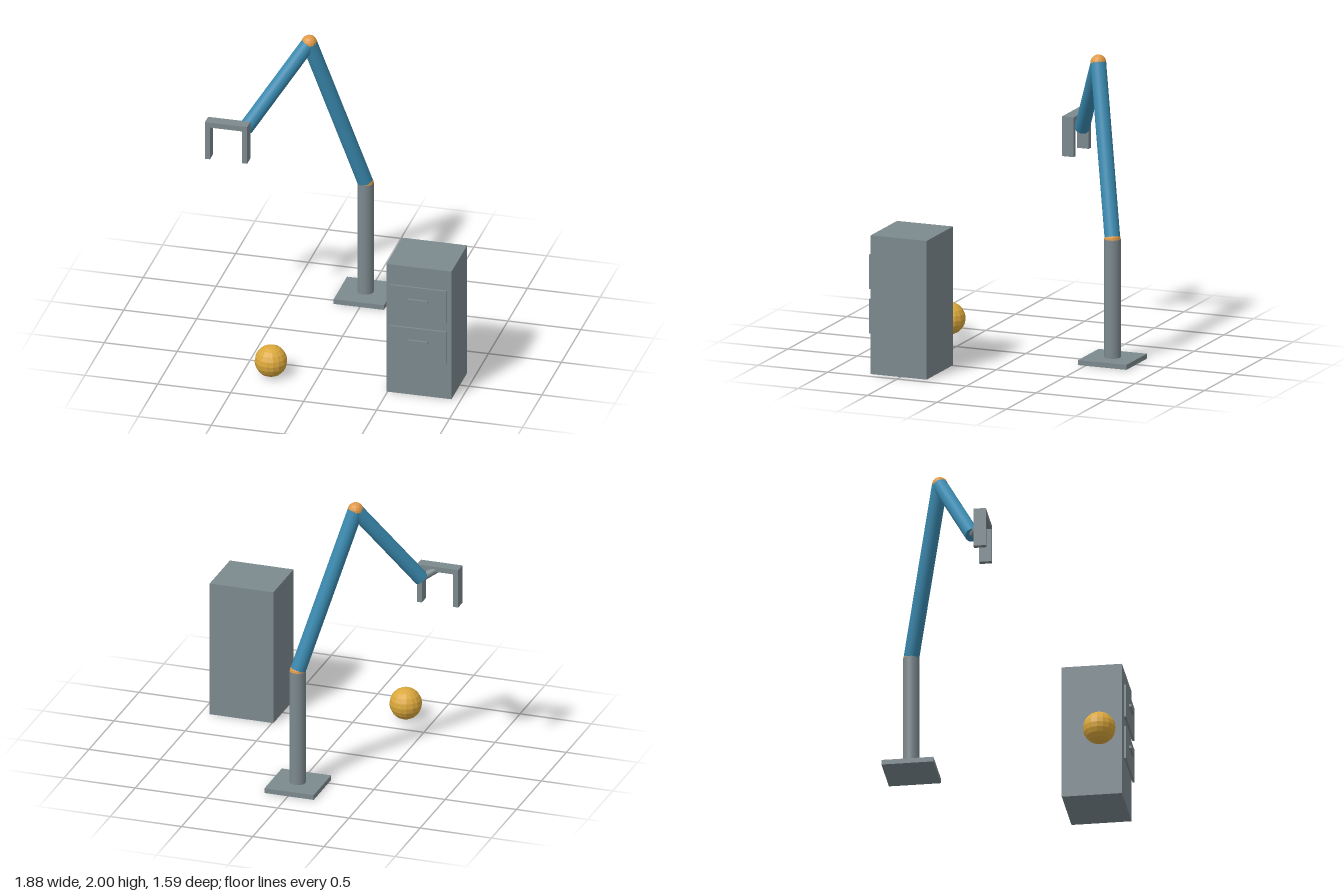
import * as THREE from 'three';

export function createModel() {
  const model = new THREE.Group();
  model.name = 'robotArmScene';

  const paint = (name, color) => {
    const m = new THREE.MeshStandardMaterial({ color });
    m.name = name;
    return m;
  };
  const grey = paint('steelGrey', 0x7c898e);
  const blue = paint('armBlue', 0x3a8ab0);
  const orange = paint('jointOrange', 0xe09a48);
  const gold = paint('ballGold', 0xdba83c);

  const add = (name, geometry, material, parent = model) => {
    const mesh = new THREE.Mesh(geometry, material);
    mesh.name = name;
    parent.add(mesh);
    return mesh;
  };

  // Box given by its lower and upper corners
  const box = (name, a, b, parent) => {
    const size = a.map((v, i) => b[i] - v);
    const mesh = add(name, new THREE.BoxGeometry(...size), grey, parent);
    mesh.position.set(...a.map((v, i) => (v + b[i]) / 2));
    return mesh;
  };

  // Cylinder running between two points
  const rod = (name, from, to, radius, material, parent) => {
    const dir = to.clone().sub(from);
    const mesh = add(name, new THREE.CylinderGeometry(radius, radius, dir.length(), 32), material, parent);
    mesh.position.copy(from).add(to).multiplyScalar(0.5);
    mesh.quaternion.setFromUnitVectors(new THREE.Vector3(0, 1, 0), dir.normalize());
    return mesh;
  };

  // Faceted sphere
  const ball = (name, centre, radius, material, parent) => {
    const geometry = new THREE.SphereGeometry(radius, 16, 10).toNonIndexed();
    geometry.computeVertexNormals();
    add(name, geometry, material, parent).position.copy(centre);
  };

  // Arm: base, column, two links with ball joints
  const arm = new THREE.Group();
  arm.name = 'arm';
  model.add(arm);
  const foot = new THREE.Vector3(-0.008, 0.03, -0.621);
  const shoulder = new THREE.Vector3(-0.008, 0.838, -0.621);
  const elbow = new THREE.Vector3(-0.33, 1.947, -0.382);
  const wrist = new THREE.Vector3(-0.695, 1.395, -0.11);
  const palm = new THREE.Vector3(-0.79, 1.45, -0.03);

  box('basePlate', [-0.181, 0, -0.795], [0.165, 0.034, -0.447], arm);
  rod('column', foot, shoulder, 0.055, grey, arm);
  ball('shoulderJoint', shoulder, 0.054, orange, arm);
  rod('upperArm', shoulder, elbow, 0.052, blue, arm);
  ball('elbowJoint', elbow, 0.053, orange, arm);
  rod('forearm', elbow, wrist, 0.05, blue, arm);
  rod('wristRod', wrist, palm, 0.025, grey, arm);

  // Gripper: palm bar with two fingers
  const gripper = new THREE.Group();
  gripper.name = 'gripper';
  arm.add(gripper);
  box('palmBar', [-0.94, 1.435, -0.068], [-0.65, 1.471, 0.015], gripper);
  for (const [name, x] of [['rightFinger', -0.94], ['leftFinger', -0.685]]) {
    box(name, [x, 1.2, -0.068], [x + 0.035, 1.435, 0.015], gripper);
  }

  // Cabinet with two drawer fronts held just off its face
  const cabinet = new THREE.Group();
  cabinet.name = 'cabinet';
  model.add(cabinet);
  box('cabinetBody', [0.491, 0, 0.314], [0.938, 0.945, 0.717], cabinet);
  for (const [name, y] of [['lowerDrawer', 0.268], ['upperDrawer', 0.57]]) {
    box(name, [0.519, y, 0.727], [0.907, y + 0.235, 0.741], cabinet);
    box(name + 'Handle', [0.647, y + 0.132, 0.741], [0.78, y + 0.15, 0.757], cabinet);
  }

  // Loose ball on the floor
  ball('floorBall', new THREE.Vector3(-0.309, 0.109, 0.682), 0.109, gold);

  return model;
}
